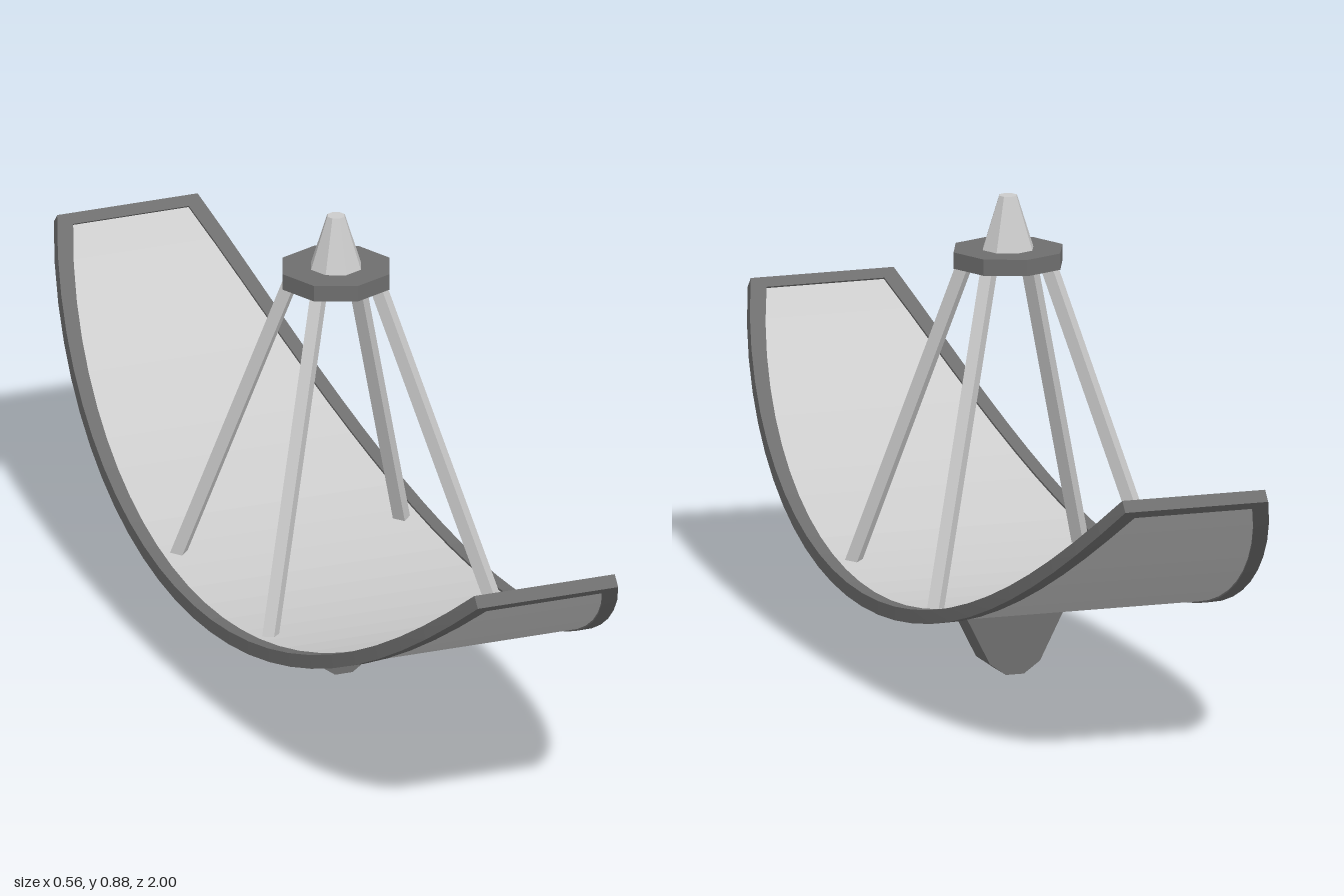
import * as THREE from 'three';

const light = new THREE.MeshStandardMaterial({ color: 0xcccccc, flatShading: true });
const dark = new THREE.MeshStandardMaterial({ color: 0x6e6e6e, flatShading: true });

// Dish curve: arc about the x axis, with an elliptical outline cut off at both ends
const CENTRE_Y = 1.674, R_OUT = 1.536, R_IN = 1.511, END = 0.709, STEPS = 26;
const onArc = (x, angle, r) => new THREE.Vector3(x, CENTRE_Y - r * Math.cos(angle), r * Math.sin(angle));
const halfWidth = (angle) => 0.279 * Math.sqrt(1 - (R_OUT * Math.sin(angle)) ** 2 / 1.315);
const angles = Array.from({ length: STEPS + 1 }, (_, i) => END * (2 * i / STEPS - 1));

// Skins a row of equal cross-section loops
function loft(sections, closed) {
  const n = sections[0].length, index = [];
  const rows = closed ? sections.length : sections.length - 1;
  for (let i = 0; i < rows; i++) {
    for (let j = 0; j < n; j++) {
      const next = (i + 1) % sections.length, k = (j + 1) % n;
      const a = i * n + j, b = i * n + k, c = next * n + k, d = next * n + j;
      index.push(a, b, c, a, c, d);
    }
  }
  const geometry = new THREE.BufferGeometry().setFromPoints(sections.flat());
  geometry.setIndex(index);
  geometry.computeVertexNormals();
  return geometry;
}

function add(parent, name, geometry, material, x = 0, y = 0, z = 0) {
  const mesh = new THREE.Mesh(geometry, material);
  mesh.name = name;
  mesh.position.set(x, y, z);
  parent.add(mesh);
  return mesh;
}

export function createModel() {
  const model = new THREE.Group();
  model.name = 'dishAntenna';

  // Curved reflector panel, its edges tucked into the rim
  const panel = angles.map((t) => {
    const w = halfWidth(t) - 0.012, a = t * 0.99;
    return [onArc(-w, a, R_OUT - 0.003), onArc(w, a, R_OUT - 0.003),
      onArc(w, a, R_IN + 0.004), onArc(-w, a, R_IN + 0.004)];
  });
  add(model, 'reflector', loft(panel, false), light);

  // Rim: rectangular section carried once round the outline
  const rimSide = (side) => angles.map((t) => {
    const a = t * side, w = halfWidth(t) * side, inner = w - 0.024 * side, b = a * 0.979;
    return [onArc(inner, b, R_OUT), onArc(w, a, R_OUT), onArc(w, a, R_IN), onArc(inner, b, R_IN)];
  });
  add(model, 'rim', loft([...rimSide(1), ...rimSide(-1)], true), dark);

  // Four square struts leaning in to the feed
  const foot = new THREE.Vector2(0.31, 0.165), head = new THREE.Vector2(0.078, 0.76);
  const run = head.clone().sub(foot);
  for (let i = 0; i < 4; i++) {
    const arm = new THREE.Group();
    arm.name = 'strutArm';
    arm.rotation.y = Math.PI / 4 + i * Math.PI / 2;
    const strut = add(arm, 'strut', new THREE.BoxGeometry(0.023, run.length(), 0.023), light,
      (foot.x + head.x) / 2, (foot.y + head.y) / 2);
    strut.rotation.z = Math.atan2(-run.x, run.y);
    model.add(arm);
  }

  // Feed: octagonal collar with a tapered tip
  add(model, 'feedCollar', new THREE.CylinderGeometry(0.104, 0.104, 0.03, 8), dark, 0, 0.762);
  add(model, 'feedTip', new THREE.CylinderGeometry(0.017, 0.053, 0.112, 8), light, 0, 0.819);

  // Tapered mounting foot under the dish
  const outline = [[-0.112, 0.148], [-0.048, 0.022], [-0.017, 0], [0.017, 0], [0.048, 0.022], [0.112, 0.148]];
  const shape = new THREE.Shape(outline.map(([x, y]) => new THREE.Vector2(x, y)));
  add(model, 'mountingFoot', new THREE.ExtrudeGeometry(shape, { depth: 0.074, bevelEnabled: false }), dark, 0, 0, -0.037);

  return model;
}
